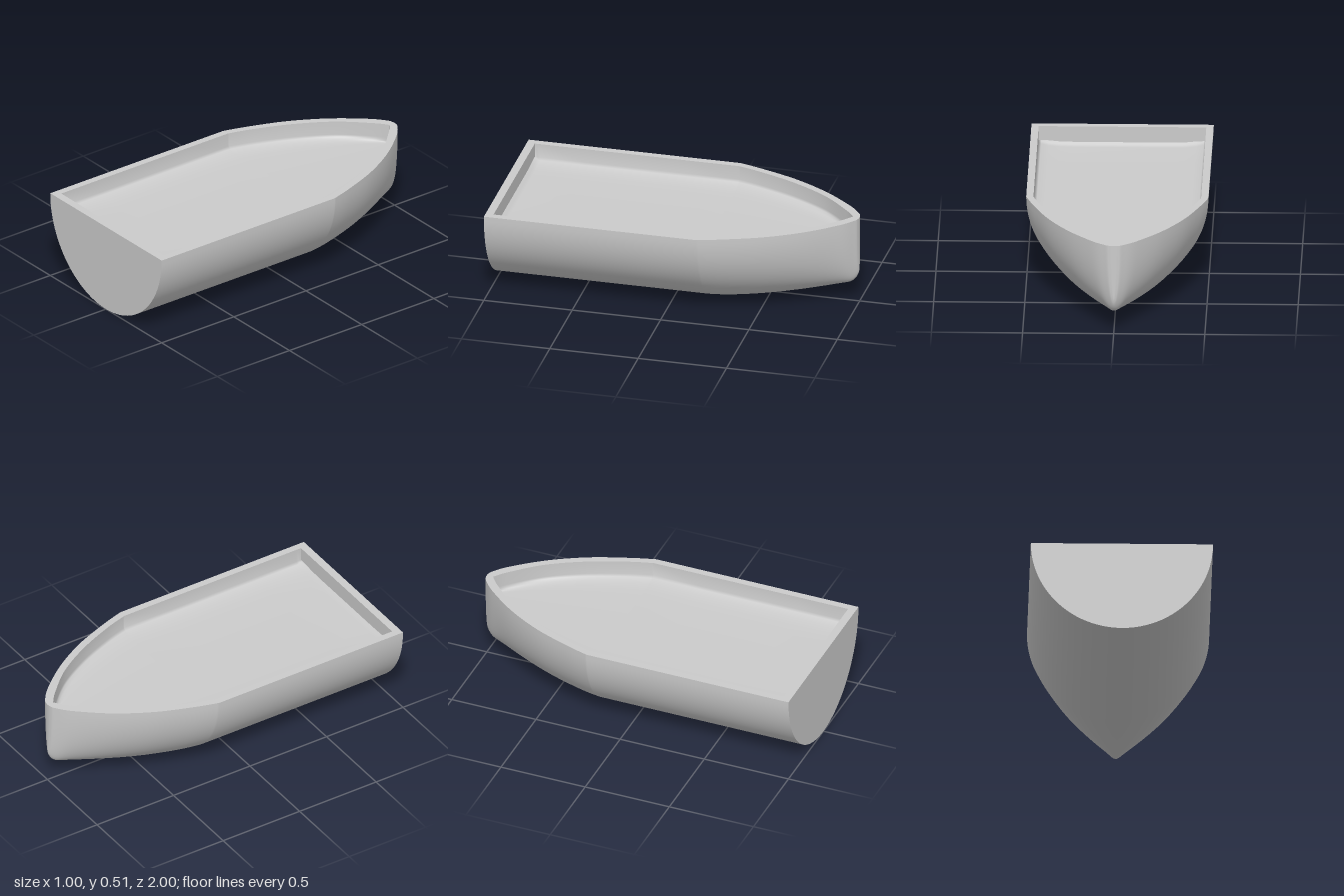
import * as THREE from 'three';
import { mergeVertices } from 'three/addons/utils/BufferGeometryUtils.js';

const TOP = 0.51, OUT_Z = 1, IN_Z = 0.955;
const material = new THREE.MeshStandardMaterial({ color: 0xcccccc });

// Half outline in plan: points of (half width, z) from the stern to the bow
function halfOutline(sternZ, width, bow) {
  const curve = new THREE.SplineCurve(bow.map(([x, z]) => new THREE.Vector2(x, z)));
  const straight = [0, 0.25, 0.5, 0.75].map(
    (t) => new THREE.Vector2(width, THREE.MathUtils.lerp(sternZ, bow[0][1], t)));
  return [...straight, ...curve.getPoints(56)];
}
const outer = halfOutline(OUT_Z, 0.5, [[0.5, -0.2], [0.457, -0.34], [0.375, -0.55],
  [0.26, -0.75], [0.127, -0.915], [0.05, -0.983], [0.022, -0.997], [0, -1]]);
const inner = halfOutline(IN_Z, 0.46, [[0.46, -0.2], [0.417, -0.34], [0.33, -0.55],
  [0.212, -0.75], [0.07, -0.905], [0, -0.963]]);

// Skin over cross-sections; each section is a row of [x, y, z]
function loft(rows, inward) {
  const n = rows[0].length, index = [];
  for (let i = 0; i < rows.length - 1; i++) {
    for (let j = 0; j < n - 1; j++) {
      const a = i * n + j, b = a + 1, d = a + n, c = d + 1;
      if (inward) index.push(a, d, b, b, d, c);
      else index.push(a, b, d, b, c, d);
    }
  }
  const geo = new THREE.BufferGeometry();
  geo.setAttribute('position', new THREE.Float32BufferAttribute(rows.flat(2), 3));
  geo.setIndex(index);
  return geo;
}

// Keel height: level aft, rising forward, rounding up into the stem
function keel(z) {
  const t = THREE.MathUtils.clamp((-z - 0.25) / 0.7, 0, 1.1);
  const u = THREE.MathUtils.clamp((-z - 0.94) / 0.06, 0, 1);
  return 0.115 * t ** 1.5 + 0.08 * (1 - Math.sqrt(1 - u * u));
}

// Half-elliptical hull section, from the left gunwale to the right
function hullSection({ x: w, y: z }) {
  const row = [];
  for (let j = 0; j <= 48; j++) {
    const a = (Math.PI * j) / 48;
    row.push([w * Math.cos(a), TOP - (TOP - keel(z)) * Math.sin(a), z]);
  }
  return row;
}

// Inner section: short upright wall easing into a flat floor
const wellProfile = [[1, TOP], [1, 0.43], [0.97, 0.418], [0.88, 0.408], [0.75, 0.402], [0.55, 0.4], [0, 0.4]];
function wellSection({ x: w, y: z }) {
  const lift = 0.02 * THREE.MathUtils.clamp((z - 0.925) / 0.03, 0, 1);
  const side = wellProfile.map(([s, y]) => [s * w, Math.max(y, Math.min(0.43, y + lift)), z]);
  const mirror = side.slice(0, -1).reverse().map(([x, y, zz]) => [-x, y, zz]);
  return [...side, ...mirror];
}

// Closed plan outline, ready to lie flat after a quarter turn
function planPoints(half) {
  const left = half.map((p) => new THREE.Vector2(p.x, -p.y));
  const right = half.slice(0, -1).reverse().map((p) => new THREE.Vector2(-p.x, -p.y));
  return [...left, ...right];
}

const flat = (row) => new THREE.Shape(row.map(([x, y]) => new THREE.Vector2(x, y)));

export function createModel() {
  const group = new THREE.Group();
  group.name = 'boat';
  const add = (name, geo) => {
    const mesh = new THREE.Mesh(geo, material);
    mesh.name = name;
    group.add(mesh);
    return mesh;
  };

  // Outer hull, welded so the stem shades smoothly
  const hull = mergeVertices(loft(outer.map(hullSection), false), 1e-5);
  hull.computeVertexNormals();
  add('hull', hull);

  // Flat stern plate
  add('transom', new THREE.ShapeGeometry(flat(hullSection(outer[0])))).position.z = OUT_Z;

  // Gunwale ring
  const rim = new THREE.Shape(planPoints(outer));
  rim.holes.push(new THREE.Path(planPoints(inner)));
  add('gunwale', new THREE.ShapeGeometry(rim).rotateX(-Math.PI / 2)).position.y = TOP;

  // Sunken well: side walls and floor
  const stations = [inner[0], new THREE.Vector2(0.46, 0.94), new THREE.Vector2(0.46, 0.925), ...inner.slice(1)];
  const well = loft(stations.map(wellSection), true);
  well.computeVertexNormals();
  add('wellFloor', well);

  // Inside face of the stern, turned to look forward
  const sternWall = new THREE.ShapeGeometry(flat(wellSection(inner[0]))).rotateY(Math.PI);
  add('sternInnerWall', sternWall).position.z = IN_Z;

  return group;
}
